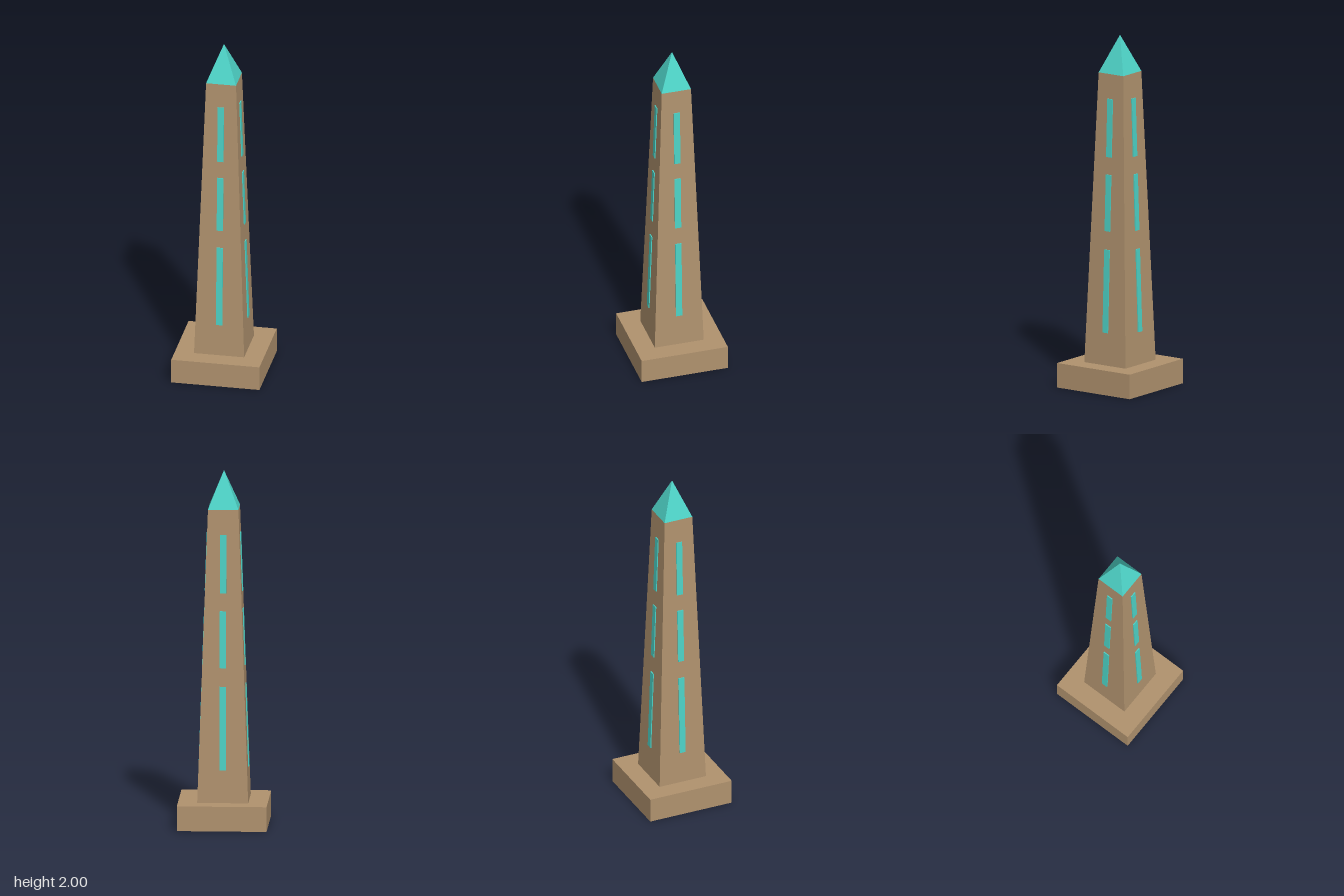
import * as THREE from 'three';

const BASE_TOP = 0.14, SHAFT_TOP = 1.79, TIP = 2;
const HALF_BOTTOM = 0.142, HALF_TOP = 0.085;

export function createModel() {
  const group = new THREE.Group();
  const stone = new THREE.MeshStandardMaterial({ color: 0xb0926e });
  stone.name = 'sandstone';
  const teal = new THREE.MeshStandardMaterial({ color: 0x4dd2c6 });
  teal.name = 'turquoise';

  const add = (parent, name, geometry, material) => {
    const mesh = new THREE.Mesh(geometry, material);
    mesh.name = name;
    parent.add(mesh);
    return mesh;
  };

  // Square frustum with crisp faces, given by its half widths
  const frustum = (top, bottom, y0, y1) => {
    const g = new THREE.CylinderGeometry(top * Math.SQRT2, bottom * Math.SQRT2, y1 - y0, 4)
      .rotateY(Math.PI / 4)
      .translate(0, (y0 + y1) / 2, 0)
      .toNonIndexed();
    g.computeVertexNormals();
    return g;
  };

  // Plinth, tapered shaft and pyramid cap
  add(group, 'plinth', new THREE.BoxGeometry(0.5, BASE_TOP, 0.5), stone).position.y = BASE_TOP / 2;
  add(group, 'shaft', frustum(HALF_TOP, HALF_BOTTOM, BASE_TOP, SHAFT_TOP), stone);
  add(group, 'cap', frustum(0, HALF_TOP, SHAFT_TOP, TIP), teal);

  // Three inlaid strips leaning with each of the four faces
  const slope = (HALF_BOTTOM - HALF_TOP) / (SHAFT_TOP - BASE_TOP);
  const lean = Math.atan(slope);
  for (let side = 0; side < 4; side++) {
    const inlay = new THREE.Group();
    inlay.name = 'inlay';
    inlay.rotation.y = side * Math.PI / 2;
    for (const [y0, y1] of [[0.325, 0.795], [0.9, 1.22], [1.32, 1.65]]) {
      const y = (y0 + y1) / 2;
      const geometry = new THREE.BoxGeometry(0.036, (y1 - y0) / Math.cos(lean), 0.009);
      const strip = add(inlay, 'strip', geometry, teal);
      strip.position.set(0, y, HALF_BOTTOM - slope * (y - BASE_TOP) + 0.001);
      strip.rotation.x = -lean;
    }
    group.add(inlay);
  }
  return group;
}
